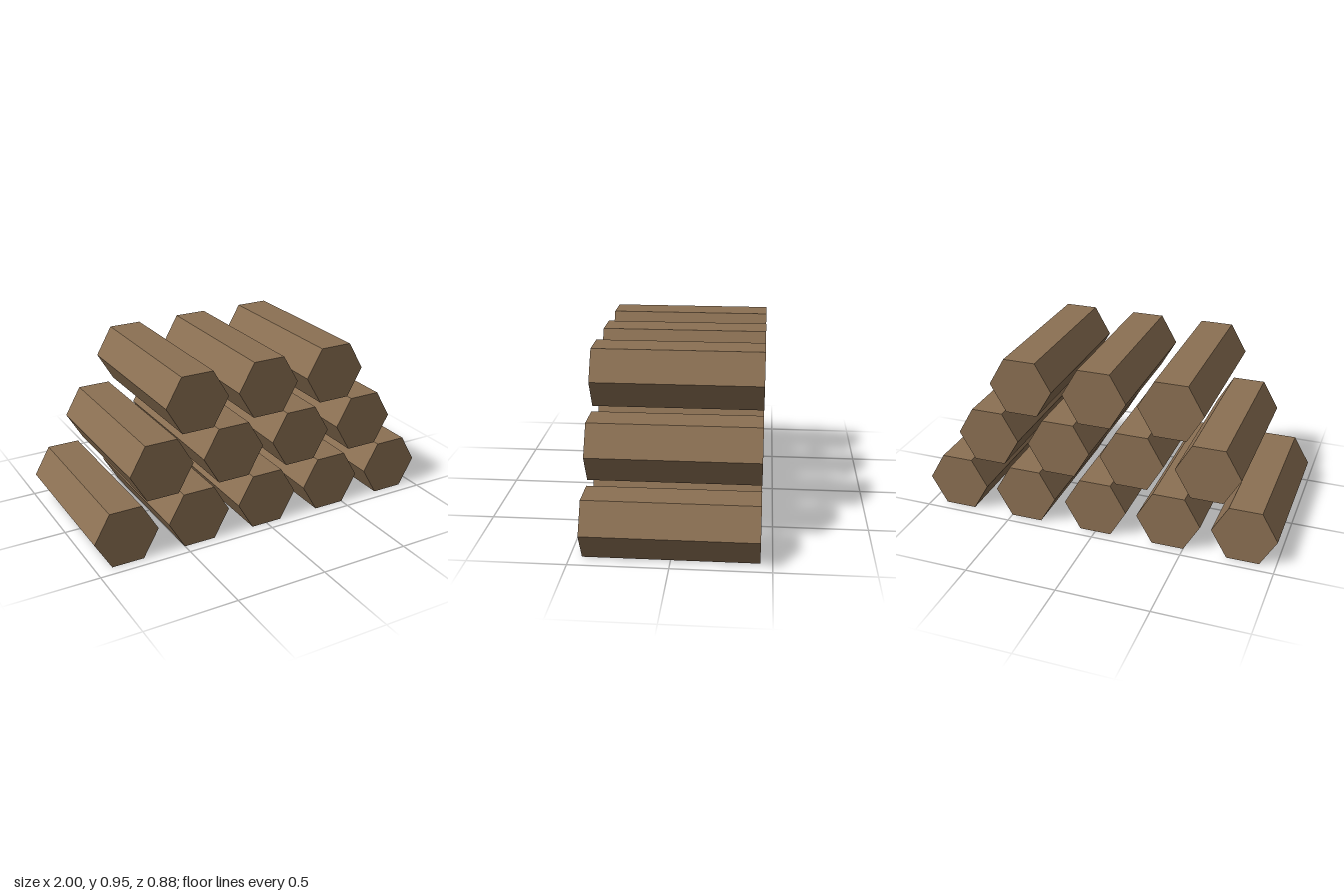
import * as THREE from 'three';

const RADIUS = 0.176;   // corner radius of a hexagonal log
const LENGTH = 0.88;
const SPACING = 0.412;  // between log centres in a row
const ROW_RISE = 0.324; // between row centres

export function createModel() {
  const group = new THREE.Group();
  group.name = 'logPile';

  const wood = new THREE.MeshStandardMaterial({ color: 0x8b7053, flatShading: true });
  wood.name = 'brown wood';

  // Six-sided log along z, lying on a flat side
  const logGeometry = new THREE.CylinderGeometry(RADIUS, RADIUS, LENGTH, 6);
  logGeometry.rotateY(Math.PI / 6);
  logGeometry.rotateX(Math.PI / 2);
  const halfHeight = RADIUS * Math.cos(Math.PI / 6);

  // Three rows, each one log shorter than the row below
  [5, 4, 3].forEach((count, row) => {
    const rowGroup = new THREE.Group();
    rowGroup.name = ['bottomRow', 'middleRow', 'topRow'][row];
    rowGroup.position.y = halfHeight + row * ROW_RISE;
    for (let i = 0; i < count; i++) {
      const log = new THREE.Mesh(logGeometry, wood);
      log.name = 'log';
      log.position.x = (i - (count - 1) / 2) * SPACING;
      rowGroup.add(log);
    }
    group.add(rowGroup);
  });

  return group;
}
